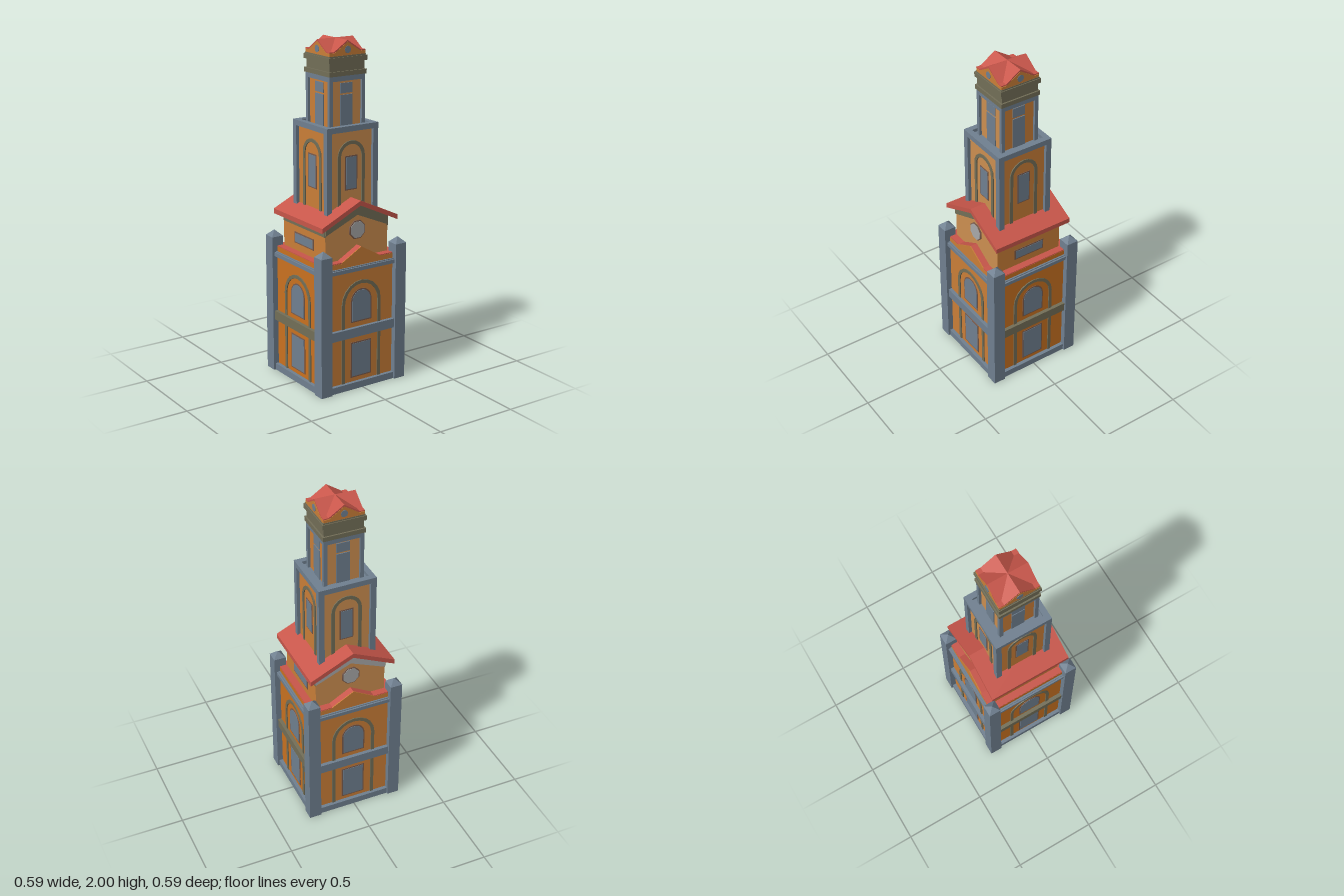
import * as THREE from 'three';

const mat = (name, color) => {
  const m = new THREE.MeshStandardMaterial({ color });
  m.name = name;
  return m;
};

export function createModel() {
  const slate = mat('slate stone', 0x708090);
  const ochre = mat('ochre wall', 0xca7220);
  const bronze = mat('bronze wall', 0xcb7f38);
  const sand = mat('sand wall', 0xcd8f50);
  const red = mat('red roof', 0xc8564a);
  const olive = mat('olive trim', 0x736f58);
  const brown = mat('brown frame', 0x7d5c4c);
  const pale = mat('pale grey stone', 0xa9a9a9);

  const model = new THREE.Group();
  model.name = 'bellTower';

  const add = (parent, name, geometry, material, x = 0, y = 0, z = 0) => {
    const mesh = new THREE.Mesh(geometry, material);
    mesh.name = name;
    mesh.position.set(x, y, z);
    parent.add(mesh);
    return mesh;
  };
  // Box given by its width, bottom, top and depth
  const block = (parent, name, material, w, y0, y1, d, x = 0, z = 0) =>
    add(parent, name, new THREE.BoxGeometry(w, y1 - y0, d), material, x, (y0 + y1) / 2, z);
  // Flat outline pulled along z from z0 to z1
  const slab = (parent, name, shape, material, z0, z1) =>
    add(parent, name, new THREE.ExtrudeGeometry(shape, { depth: z1 - z0, bevelEnabled: false, curveSegments: 10 }), material, 0, 0, z0);
  const poly = (pts) => new THREE.Shape(pts.map(([x, y]) => new THREE.Vector2(x, y)));
  const rect = (w, y0, y1) => poly([[-w, y0], [w, y0], [w, y1], [-w, y1]]);
  // Symmetrical outline from its right half
  const mirrored = (pts) => poly([...pts, ...pts.filter(([x]) => x > 0).reverse().map(([x, y]) => [-x, y])]);
  const archPoints = (r, y0, spring) => {
    const pts = [[r, y0]];
    for (let i = 0; i <= 10; i++) {
      const a = (i / 10) * Math.PI;
      pts.push([r * Math.cos(a), spring + r * Math.sin(a)]);
    }
    pts.push([-r, y0]);
    return pts;
  };
  const arch = (r, y0, spring) => poly(archPoints(r, y0, spring));
  const archBand = (r, t, y0, spring) =>
    poly([...archPoints(r, y0, spring), ...archPoints(r - t, y0, spring).reverse()]);

  // Runs build(group, isSide) for front, left, back and right
  const onFaces = (name, build) => {
    for (let i = 0; i < 4; i++) {
      const face = new THREE.Group();
      face.name = ['front', 'left', 'back', 'right'][i] + name;
      face.rotation.y = (i * Math.PI) / 2;
      build(face, i % 2 === 1, i);
      model.add(face);
    }
  };
  const onCorners = (build) => {
    for (const sx of [-1, 1]) for (const sz of [-1, 1]) build(sx, sz);
  };
  const walls = (side, front, top) => [side, side, top, slate, front, front];

  // Lower stage
  block(model, 'lowerWalls', walls(ochre, bronze, red), 0.52, 0.004, 0.772, 0.52);
  block(model, 'floorPlate', slate, 0.47, 0, 0.008, 0.47);
  block(model, 'lowerRoofLedge', red, 0.516, 0.77, 0.776, 0.516);
  onCorners((sx, sz) => {
    block(model, 'cornerPillar', slate, 0.073, 0, 0.83, 0.073, sx * 0.257, sz * 0.257);
    const cap = new THREE.ConeGeometry(0.0365 * Math.SQRT2, 0.035, 4, 1).toNonIndexed();
    cap.rotateY(Math.PI / 4);
    cap.computeVertexNormals();
    add(model, 'pillarCap', cap, slate, sx * 0.257, 0.8475, sz * 0.257);
  });
  onFaces('LowerFacade', (g, side) => {
    block(g, 'baseBand', slate, 0.46, 0, 0.04, 0.03, 0, 0.267);
    block(g, 'middleBand', side ? olive : slate, 0.46, 0.32, 0.375, 0.03, 0, 0.267);
    block(g, 'corniceBand', slate, 0.46, 0.715, 0.737, 0.03, 0, 0.265);
    block(g, 'corniceLip', slate, 0.46, 0.72, 0.742, 0.02, 0, 0.26);
    slab(g, 'archMoulding', archBand(0.135, 0.02, 0.04, 0.518), olive, 0.258, 0.266);
    slab(g, 'upperWindowFrame', arch(0.072, 0.403, 0.53), brown, 0.258, 0.263);
    slab(g, 'upperWindow', arch(0.064, 0.411, 0.53), slate, 0.26, 0.265);
    slab(g, 'lowerWindowFrame', rect(0.072, 0.065, 0.282), brown, 0.258, 0.263);
    slab(g, 'lowerWindow', rect(0.064, 0.073, 0.274), slate, 0.26, 0.265);
    // Small pediment over the front and back
    if (!side) {
      const gable = mirrored([[0.14, 0.768], [0.13, 0.776], [0, 0.85]]);
      slab(g, 'smallGableRoof', gable, red, 0.2, 0.256);
      slab(g, 'smallGableFace', gable, bronze, 0.255, 0.261);
    }
  });

  // Gabled middle stage
  slab(model, 'middleWalls', mirrored([[0.215, 0.77], [0.215, 0.986], [0, 1.087]]), [sand, bronze], -0.215, 0.215);
  slab(model, 'mainRoof', mirrored([[0.26, 0.965], [0.26, 0.994], [0, 1.115]])
    && poly([[-0.26, 0.965], [0, 1.087], [0.26, 0.965], [0.26, 0.994], [0, 1.115], [-0.26, 0.994]]), red, -0.253, 0.253);
  onFaces('MiddleFacade', (g, side, i) => {
    if (side) {
      block(g, 'sideFrieze', olive, 0.43, 0.927, 0.984, 0.01, 0, 0.215);
      slab(g, 'sideWindowFrame', rect(0.1, 0.82, 0.887), brown, 0.213, 0.218);
      slab(g, 'sideWindow', rect(0.092, 0.828, 0.879), slate, 0.215, 0.22);
      return;
    }
    slab(g, 'gableFrieze', poly([[-0.215, 0.934], [0, 1.026], [0.215, 0.934], [0.215, 0.986], [0, 1.087], [-0.215, 0.986]]),
      i === 0 ? olive : pale, 0.213, 0.222);
    for (const [name, r, m, z] of [['roundWindowFrame', 0.057, brown, 0.219], ['roundWindow', 0.051, pale, 0.222]]) {
      const disc = new THREE.CylinderGeometry(r, r, 0.008, 8).rotateY(Math.PI / 8).rotateX(Math.PI / 2);
      add(g, name, disc, m, 0, 0.94, z);
    }
  });

  // Tower stage
  block(model, 'towerWalls', walls(bronze, sand, slate), 0.31, 0.98, 1.51, 0.31);
  onCorners((sx, sz) => block(model, 'towerPost', slate, 0.034, 0.98, 1.5, 0.034, sx * 0.157, sz * 0.157));
  onFaces('TowerFacade', (g) => {
    block(g, 'towerRim', slate, 0.348, 1.498, 1.53, 0.034, 0, 0.157);
    slab(g, 'towerArch', archBand(0.092, 0.02, 1.03, 1.352), olive, 0.153, 0.161);
    slab(g, 'towerWindowFrame', rect(0.042, 1.158, 1.357), brown, 0.153, 0.158);
    slab(g, 'towerWindow', rect(0.035, 1.165, 1.35), slate, 0.155, 0.16);
  });

  // Belfry stage
  block(model, 'belfryWalls', walls(bronze, sand, slate), 0.21, 1.5, 1.79, 0.21);
  onCorners((sx, sz) => block(model, 'belfryPost', slate, 0.022, 1.5, 1.78, 0.022, sx * 0.109, sz * 0.109));
  onFaces('BelfryFacade', (g) => {
    slab(g, 'belfryLowerWindow', rect(0.04, 1.51, 1.695), slate, 0.104, 0.11);
    slab(g, 'belfryUpperWindow', rect(0.04, 1.705, 1.762), slate, 0.104, 0.11);
  });
  block(model, 'belfryLintel', slate, 0.24, 1.775, 1.806, 0.24);
  // Stacked mouldings
  for (const [w, y0, y1] of [[0.252, 1.804, 1.83], [0.234, 1.83, 1.88], [0.256, 1.88, 1.908], [0.246, 1.908, 1.916]])
    block(model, 'belfryMoulding', olive, w, y0, y1, w);

  // Crossed gable top
  block(model, 'pedimentWalls', bronze, 0.234, 1.914, 1.936, 0.234);
  block(model, 'topRoofEaves', red, 0.24, 1.934, 1.94, 0.24);
  const topGable = mirrored([[0.095, 1.937], [0, 2]]);
  slab(model, 'topRoofLong', topGable, red, -0.12, 0.12);
  slab(model, 'topRoofCross', topGable, red, -0.12, 0.12).rotation.y = Math.PI / 2;
  model.getObjectByName('topRoofCross').position.set(-0.12, 0, 0);
  onFaces('Pediment', (g) => {
    slab(g, 'pedimentFace', mirrored([[0.117, 1.915], [0.117, 1.932], [0.09, 1.932], [0, 1.99]]), bronze, 0.115, 0.1215);
    add(g, 'pedimentRoundel', new THREE.CylinderGeometry(0.021, 0.021, 0.006, 8).rotateX(Math.PI / 2), slate, 0, 1.948, 0.121);
  });

  return model;
}
